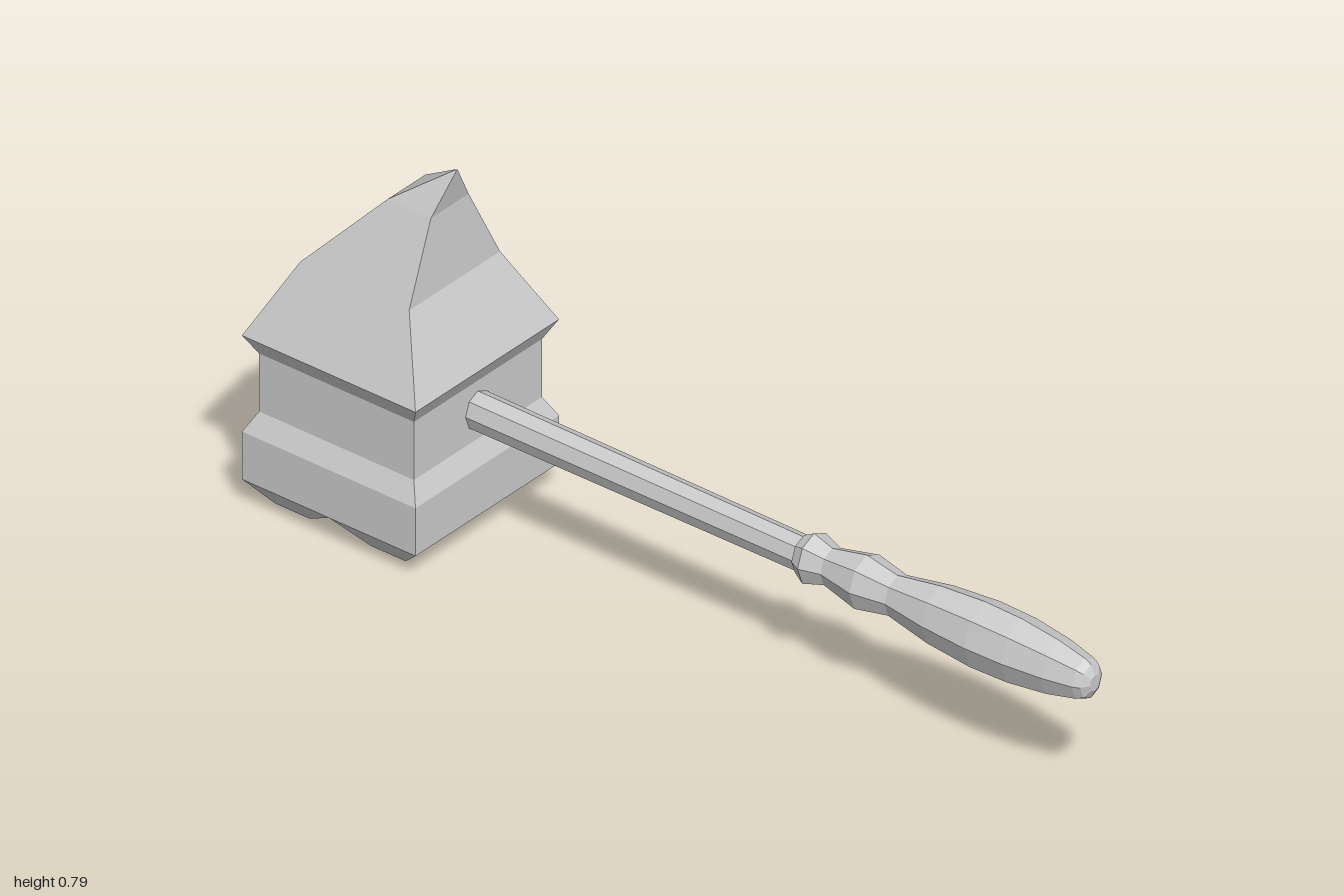
import * as THREE from 'three';

const material = new THREE.MeshStandardMaterial({ color: 0xcccccc, flatShading: true });
const HEAD_X = -0.705;
const AXIS_Y = 0.275;

function addMesh(parent, name, geometry) {
  const mesh = new THREE.Mesh(geometry, material);
  mesh.name = name;
  parent.add(mesh);
  return mesh;
}

// Solid lofted through rectangles [y, x0, x1, z0, z1], listed bottom to top
function loftBoxes(levels) {
  const positions = [];
  const index = [];
  for (const [y, x0, x1, z0, z1] of levels) {
    positions.push(x0, y, z1, x1, y, z1, x1, y, z0, x0, y, z0);
  }
  for (let i = 0; i < levels.length - 1; i++) {
    for (let k = 0; k < 4; k++) {
      const a = i * 4 + k;
      const b = i * 4 + (k + 1) % 4;
      index.push(a, b, b + 4, a, b + 4, a + 4);
    }
  }
  const t = (levels.length - 1) * 4;
  index.push(0, 2, 1, 0, 3, 2, t, t + 1, t + 2, t, t + 2, t + 3);
  const indexed = new THREE.BufferGeometry();
  indexed.setAttribute('position', new THREE.Float32BufferAttribute(positions, 3));
  indexed.setIndex(index);
  const geometry = indexed.toNonIndexed();
  geometry.computeVertexNormals();
  return geometry;
}

// Eight-sided turned part along x, from [x, radius] pairs, slightly narrower in z
function turned(profile) {
  const points = profile.map(([x, r]) => new THREE.Vector2(r, x));
  return new THREE.LatheGeometry(points, 8)
    .rotateZ(-Math.PI / 2)
    .scale(1, 1, 0.88)
    .translate(0, AXIS_Y, 0);
}

export function createModel() {
  const model = new THREE.Group();
  model.name = 'warHammer';

  // Head: square block with a narrow waist
  const head = new THREE.Group();
  head.name = 'head';
  model.add(head);
  const block = [[0.06, 0.213], [0.167, 0.213], [0.21, 0.19], [0.34, 0.19], [0.382, 0.213]];
  addMesh(head, 'headBlock', loftBoxes(
    block.map(([y, r]) => [y, HEAD_X - r, HEAD_X + r, -r, r])));

  // Curved spike leaning towards the handle
  addMesh(head, 'spike', loftBoxes([
    [0.382, -0.918, -0.492, -0.213, 0.213],
    [0.54, -0.84, -0.572, -0.135, 0.135],
    [0.703, -0.69, -0.584, -0.056, 0.056],
    [0.79, -0.57, -0.566, -0.002, 0.002],
  ]));

  // Striking face: four corner studs around a long central ridge
  for (const sx of [-1, 1]) {
    for (const sz of [-1, 1]) {
      const span = (a, b, s) => (s > 0 ? [a, b] : [-b, -a]);
      const level = (y, xa, xb, za, zb) =>
        [y, ...span(xa, xb, sx).map((x) => x + HEAD_X), ...span(za, zb, sz)];
      addMesh(head, 'cornerStud', loftBoxes([
        level(0.01, 0.075, 0.16, 0.1, 0.178),
        level(0.06, 0, 0.213, 0.065, 0.213),
      ]));
    }
  }
  addMesh(head, 'centreRidge', loftBoxes([
    [0, HEAD_X - 0.09, HEAD_X + 0.09, -0.025, 0.025],
    [0.06, HEAD_X - 0.213, HEAD_X + 0.213, -0.065, 0.065],
  ]));

  // Handle: shaft, turned collar and swelling grip
  const handle = new THREE.Group();
  handle.name = 'handle';
  model.add(handle);
  addMesh(handle, 'shaft', turned([[-0.6, 0.042], [0.29, 0.038]]));
  addMesh(handle, 'grip', turned([
    [0.285, 0], [0.285, 0.042], [0.31, 0.056], [0.355, 0.041], [0.44, 0.06],
    [0.515, 0.045], [0.62, 0.064], [0.73, 0.073], [0.82, 0.071],
    [0.91, 0.06], [0.975, 0.045], [0.99, 0.037], [1, 0.018], [1, 0],
  ]));

  // End cap on the far side of the head
  addMesh(handle, 'endCap', turned([
    [-1, 0], [-1, 0.04], [-0.98, 0.056], [-0.945, 0.056], [-0.905, 0.045], [-0.85, 0.045],
  ]));

  return model;
}
